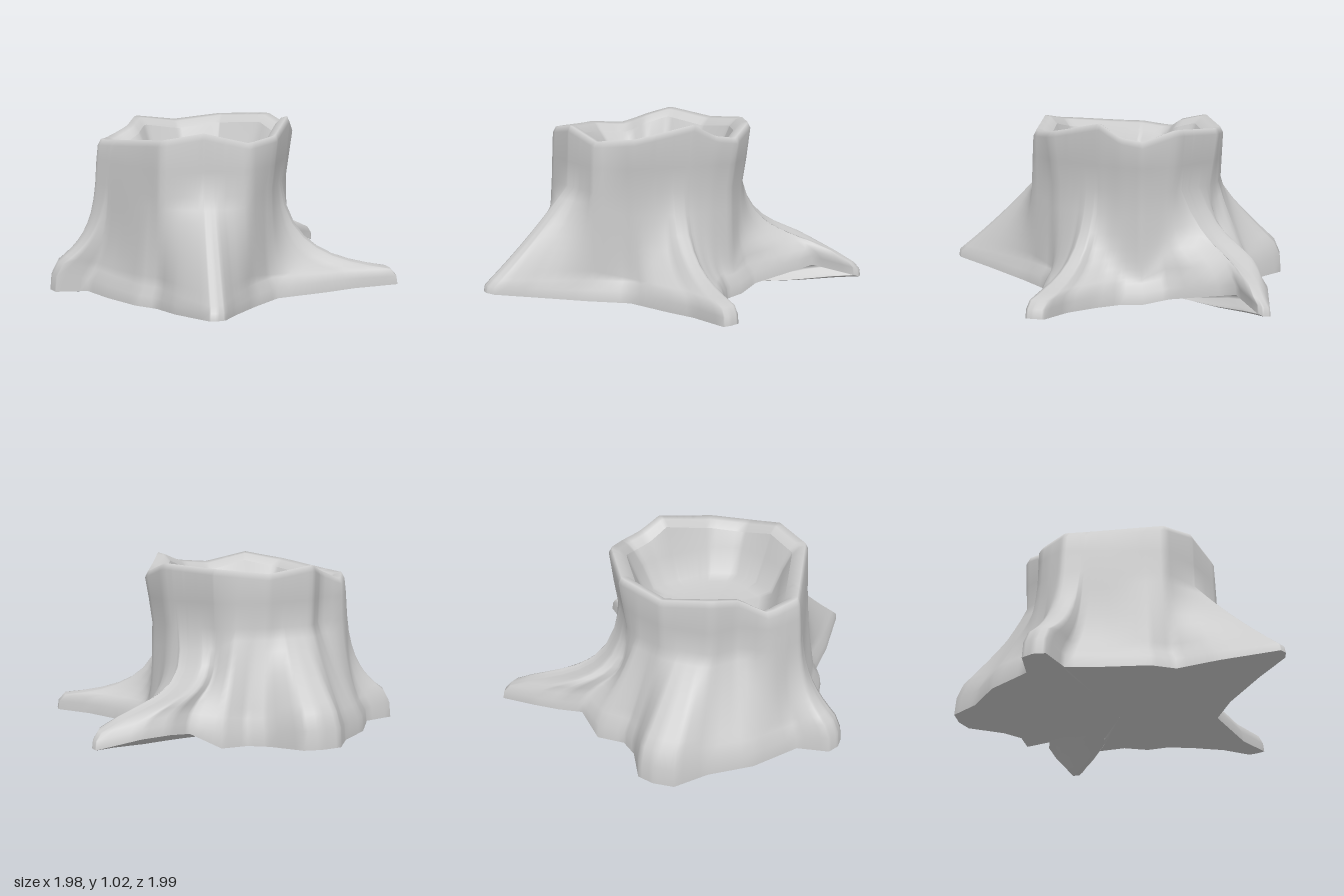
import * as THREE from 'three';

const CX = -0.1, CZ = -0.03, WAIST = 0.64, FLOOR = 0.63, SUBDIVISIONS = 4;
const { lerp, clamp } = THREE.MathUtils;

// Roots in order around the trunk, outline as ground x, z.
// top, lift: upper and lower height of the tip, hump: how far the root arches up
// slope: two curve handles from shoulder to waist, as inward and upward fractions
// waist: trunk width above the root, bend: sideways curve of the root
const roots = [
  { top: 0.14, lift: 0.05, hump: 0, slope: [0.5, 0.08, 0.92, 0.2], waist: 0.93, bend: 0, outline: [
    [0.54, -0.05], [0.53, 0.08], [0.60, 0.22], [0.72, 0.39], [0.88, 0.52],
    [0.87, 0.58], [0.85, 0.62], [0.60, 0.54], [0.43, 0.52], [0.13, 0.48]] },
  { top: 0.16, lift: 0.09, hump: 0, slope: [0.33, 0.28, 0.7, 0.64], waist: 1.02, bend: 0, outline: [
    [-0.08, 0.60], [-0.30, 0.81], [-0.45, 0.98], [-0.50, 0.99],
    [-0.54, 0.97], [-0.59, 0.65], [-0.60, 0.42], [-0.68, 0.30]] },
  { top: 0.19, lift: 0.025, hump: 0, slope: [0.5, 0.2, 0.9, 0.4], waist: 1.03, bend: 0, outline: [
    [-0.75, 0.05], [-0.80, -0.14], [-0.98, -0.18], [-0.99, -0.25], [-0.96, -0.32], [-0.78, -0.36]] },
  { top: 0.22, lift: 0.03, hump: 0, slope: [0.33, 0.28, 0.72, 0.62], waist: 0.98, bend: 0, outline: [
    [-0.62, -0.62], [-0.42, -0.80], [-0.30, -0.98], [-0.18, -1.00],
    [-0.08, -0.98], [0.04, -0.80], [0.14, -0.73], [0.30, -0.75]] },
  { top: 0.14, lift: 0.055, hump: 0.075, slope: [0.5, 0.34, 1.0, 0.16], waist: 0.93, bend: -0.14, outline: [
    [0.45, -0.66], [0.58, -0.71], [0.74, -0.72], [0.98, -0.68],
    [0.99, -0.64], [0.97, -0.61], [0.73, -0.54], [0.54, -0.20]] },
];

// Broken top edge of the trunk: x, y, z
const rim = [
  [0.50, 0.93, -0.05], [0.44, 0.95, 0.07], [0.36, 1.02, 0.18], [0.13, 0.95, 0.45],
  [-0.08, 0.93, 0.53], [-0.33, 0.99, 0.46], [-0.54, 0.95, 0.35], [-0.70, 0.90, -0.2],
  [-0.60, 0.88, -0.38], [-0.44, 0.94, -0.42], [-0.33, 0.98, -0.56], [-0.04, 0.94, -0.60],
  [0.25, 0.97, -0.52], [0.46, 0.99, -0.25],
];

const TAU = Math.PI * 2;
const wrap = (a) => ((a % TAU) + TAU) % TAU;
const angleOf = (x, z) => Math.atan2(z - CZ, x - CX);
const radiusOf = (x, z) => Math.hypot(x - CX, z - CZ);
const polar = (a, r, y) => new THREE.Vector3(CX + Math.cos(a) * r, y, CZ + Math.sin(a) * r);

// Radius and height of the top edge at an angle
const rimPolar = rim.map(([x, y, z]) => ({ a: wrap(angleOf(x, z)), r: radiusOf(x, z), y }))
  .sort((p, q) => p.a - q.a);
function rimAt(angle) {
  const a = wrap(angle), n = rimPolar.length;
  const k = Math.max(0, rimPolar.findIndex((p) => p.a > a));
  const p = rimPolar[(k + n - 1) % n], q = rimPolar[k];
  const t = wrap(a - p.a) / wrap(q.a - p.a);
  // straight edge between two corners
  const span = wrap(q.a - p.a), s = wrap(a - p.a);
  const r = (p.r * q.r * Math.sin(span)) / (p.r * Math.sin(s) + q.r * Math.sin(span - s));
  return { r, y: lerp(p.y, q.y, t) };
}

// Ground columns of one root: heights follow the distance from the trunk
function rootColumns({ top, lift, hump, slope: [in1, up1, in2, up2], waist, bend, outline }) {
  const far = Math.max(...outline.map(([x, z]) => radiusOf(x, z)));
  return outline.map(([x, z]) => {
    const t = clamp((radiusOf(x, z) - 0.6) / (far - 0.6), 0, 1);
    const arch = hump * 4 * t * (1 - t);
    return { x, z, h: lerp(0.13, top, t) + arch, lift: lerp(0.015, lift, t) + arch, in1, up1, in2, up2, waist, bend };
  });
}

// All columns in order, subdivided between neighbouring outline points
function makeColumns() {
  const list = roots.flatMap(rootColumns);
  const start = angleOf(list[0].x, list[0].z);
  let last = start - 0.03;
  list.forEach((c, i) => {
    const turn = i ? wrap(angleOf(c.x, c.z) - start) : 0;
    c.a = Math.max(last + 0.03, start + turn * 0.8 + (i / list.length) * TAU * 0.2);
    last = c.a;
  });
  list.push({ ...list[0], a: start + TAU });
  return list.slice(0, -1).flatMap((c, i) => Array.from({ length: SUBDIVISIONS }, (_, s) => {
    const mix = {};
    for (const key of Object.keys(c)) mix[key] = lerp(c[key], list[i + 1][key], s / SUBDIVISIONS);
    return mix;
  }));
}

// Bark profile of one column, from the ground to the inside of the lip
function barkProfile(c) {
  const base = new THREE.Vector3(c.x, c.lift, c.z);
  const inward = new THREE.Vector3(CX - c.x, 0, CZ - c.z).normalize();
  const edge = rimAt(c.a);
  const shoulder = base.clone().addScaledVector(inward, 0.045).setY(c.h);
  const belly = base.clone().addScaledVector(inward, 0.008).setY(lerp(c.lift, c.h, 0.55));
  const waist = polar(c.a, edge.r * c.waist, WAIST);
  const reach = Math.hypot(shoulder.x - waist.x, shoulder.z - waist.z);
  const sway = new THREE.Vector3(0, 0, c.bend * clamp((reach - 0.2) / 0.3, 0, 1));
  const handle = (along, up) => shoulder.clone().lerp(waist, along).setY(lerp(c.h, WAIST, up)).add(sway);
  const slope = new THREE.CubicBezierCurve3(
    shoulder, handle(c.in1, c.up1), handle(c.in2, c.up2), waist).getPoints(8);
  return [base, belly, ...slope,
    polar(c.a, edge.r * (1 + c.waist) / 2, 0.78), polar(c.a, edge.r, edge.y - 0.035),
    polar(c.a, edge.r * 0.97, edge.y), polar(c.a, edge.r * 0.9, edge.y - 0.01),
    polar(c.a, edge.r * 0.83, edge.y - 0.05)];
}

// Inside of the hollow, from the lip to the middle of its floor
function hollowProfile(c) {
  const edge = rimAt(c.a);
  return [polar(c.a, edge.r * 0.83, edge.y - 0.05), polar(c.a, edge.r * 0.74, 0.8),
    polar(c.a, edge.r * 0.63, FLOOR + 0.02), polar(c.a, edge.r * 0.5, FLOOR),
    polar(c.a, edge.r * 0.25, FLOOR - 0.01), polar(c.a, 0.001, FLOOR - 0.01)];
}

// Underside, from the middle out to the ground edge
function undersideProfile(c) {
  const at = (t, y) => new THREE.Vector3(lerp(CX, c.x, t), y, lerp(CZ, c.z, t));
  return [at(0.001, 0.005), at(0.4, 0), at(0.7, c.lift * 0.4), at(0.9, c.lift * 0.85), at(1, c.lift)];
}

// Closed skin through neighbouring column profiles
function skin(name, profiles, material) {
  const n = profiles.length, m = profiles[0].length, index = [];
  for (let i = 0; i < n; i++) {
    for (let j = 0; j < m - 1; j++) {
      const a = i * m + j, d = ((i + 1) % n) * m + j;
      index.push(a, a + 1, d, d, a + 1, d + 1);
    }
  }
  const geometry = new THREE.BufferGeometry().setFromPoints(profiles.flat());
  geometry.setIndex(index);
  geometry.computeVertexNormals();
  const mesh = new THREE.Mesh(geometry, material);
  mesh.name = name;
  return mesh;
}

export function createModel() {
  const group = new THREE.Group();
  group.name = 'treeStump';
  const material = new THREE.MeshStandardMaterial({ color: 0xcccccc, side: THREE.DoubleSide });
  const columns = makeColumns();
  group.add(
    skin('trunkAndRoots', columns.map(barkProfile), material),
    skin('hollow', columns.map(hollowProfile), material),
    skin('underside', columns.map(undersideProfile), material),
  );
  return group;
}
